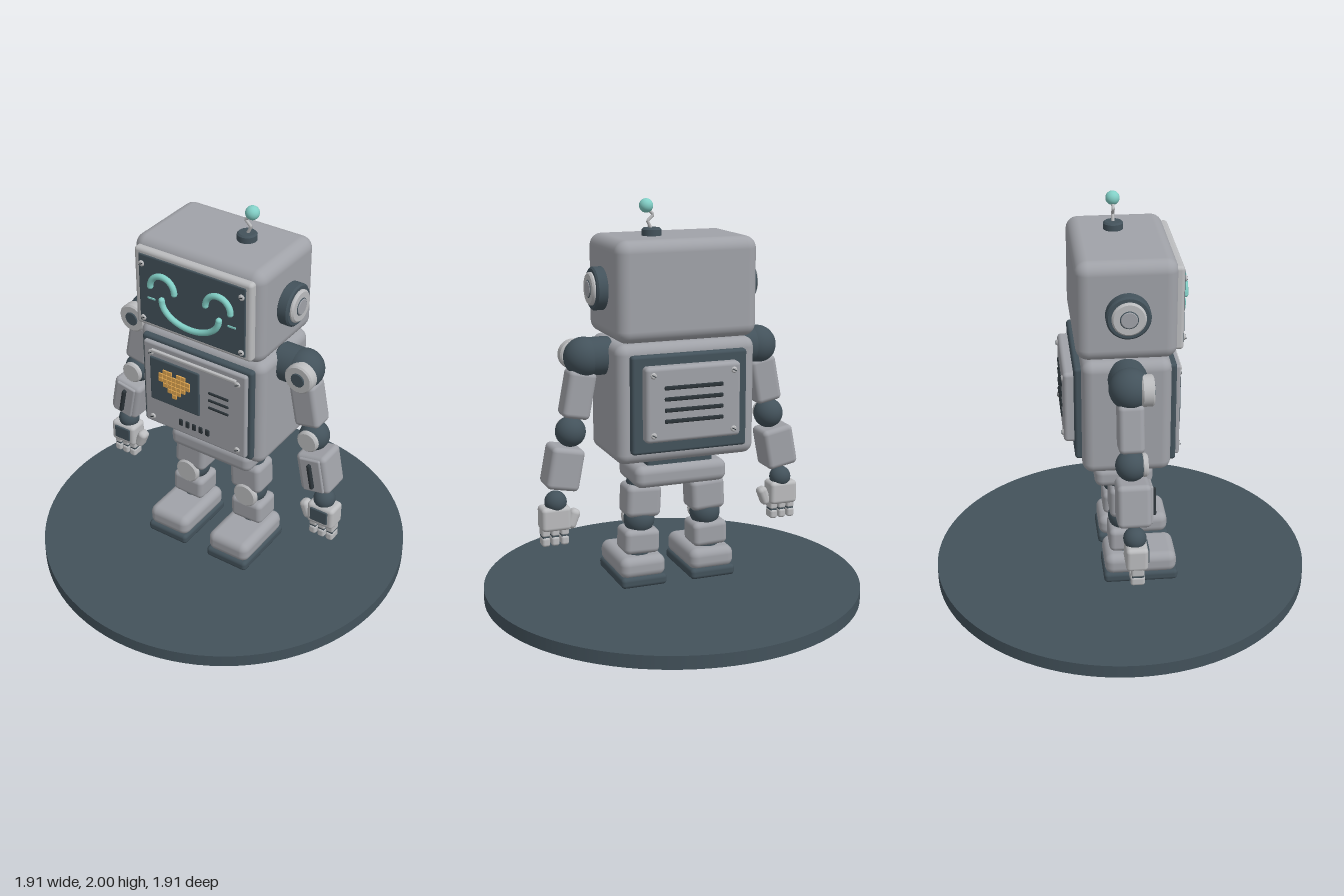
import * as THREE from 'three';
import { RoundedBoxGeometry } from 'three/addons/geometries/RoundedBoxGeometry.js';

const mat = (name, color) => {
  const m = new THREE.MeshStandardMaterial({ color });
  m.name = name;
  return m;
};

export function createModel() {
  const root = new THREE.Group();
  root.name = 'robot';
  const body = mat('bodyGrey', 0xa0a2a8);
  const trim = mat('lightTrim', 0xbbbcbe);
  const dark = mat('darkSlate', 0x43525b);
  const ink = mat('slotBlack', 0x2b3338);
  const glow = mat('aquaGlow', 0x82cfc6);
  const amber = mat('amberPixel', 0xe0a650);

  const add = (parent, name, geo, material, x = 0, y = 0, z = 0, rz = 0) => {
    const mesh = new THREE.Mesh(geo, material);
    mesh.name = name;
    mesh.position.set(x, y, z);
    mesh.rotation.z = rz;
    parent.add(mesh);
    return mesh;
  };
  const group = (name, parent = root) => {
    const g = new THREE.Group();
    g.name = name;
    parent.add(g);
    return g;
  };
  const rbox = (w, h, d, r = 0.02) => new RoundedBoxGeometry(w, h, d, 4, Math.min(r, w / 2.01, h / 2.01, d / 2.01));
  const box = (w, h, d) => new THREE.BoxGeometry(w, h, d);
  const ball = (r) => new THREE.SphereGeometry(r, 32, 20);
  // Discs whose axis runs along z or x, with a softened rim
  const disc = (r, h) => {
    const b = Math.min(0.008, h / 3);
    const pts = [[0, -h / 2], [r - b, -h / 2], [r, -h / 2 + b], [r, h / 2 - b], [r - b, h / 2], [0, h / 2]];
    // doubled points keep the rim creases sharp
    const profile = pts.flatMap(([x, y], i) => (i > 0 && i < 5 ? [[x, y], [x, y]] : [[x, y]]));
    return new THREE.LatheGeometry(profile.map(([x, y]) => new THREE.Vector2(x, y)), 40);
  };
  const discZ = (r, h) => disc(r, h).rotateX(Math.PI / 2);
  const discX = (r, h) => disc(r, h).rotateZ(-Math.PI / 2);

  // Four corner screws on a panel, facing forwards (dir 1) or backwards (dir -1)
  const screws = (parent, sx, yTop, yBottom, z, dir) => {
    for (const x of [-sx, sx]) for (const y of [yTop, yBottom]) {
      add(parent, 'screw', discZ(0.015, 0.014), trim, x, y, z);
      add(parent, 'screwSlot', box(0.022, 0.004, 0.004), ink, x, y, z + dir * 0.007, 0.5);
    }
  };

  // Base
  add(root, 'baseDisc', new THREE.CylinderGeometry(0.956, 0.956, 0.066, 96), dark, 0, 0.033, 0);

  // Head
  const head = group('head');
  add(head, 'headShell', rbox(0.715, 0.485, 0.476, 0.06), body, 0, 1.581, 0);
  add(head, 'faceFrame', rbox(0.65, 0.412, 0.05, 0.018), trim, 0, 1.58, 0.24);
  add(head, 'faceScreen', rbox(0.594, 0.366, 0.02, 0.008), dark, 0, 1.578, 0.26);
  screws(head, 0.276, 1.712, 1.42, 0.272, 1);

  // Arc of glowing tube with rounded ends
  const arc = (name, cx, cy, rx, ry, r) => {
    const pts = [];
    for (let i = 0; i <= 16; i++) {
      const a = (Math.PI * i) / 16;
      pts.push(new THREE.Vector3(cx + rx * Math.cos(a), cy + ry * Math.sin(a), 0.28));
    }
    add(head, name, new THREE.TubeGeometry(new THREE.CatmullRomCurve3(pts), 48, r, 12), glow);
    for (const p of [pts[0], pts[16]]) add(head, name + 'End', ball(r), glow, p.x, p.y, p.z);
  };
  for (const s of [-1, 1]) {
    arc('eye', s * 0.155, 1.612, 0.068, 0.068, 0.015);
    add(head, 'cheekMark', box(0.042, 0.008, 0.008), glow, s * 0.225, 1.54, 0.271);
    add(head, 'earBase', discX(0.104, 0.06), dark, s * 0.382, 1.58, 0);
    add(head, 'earRing', discX(0.08, 0.035), trim, s * 0.41, 1.58, 0);
    add(head, 'earGroove', discX(0.044, 0.01), dark, s * 0.425, 1.58, 0);
    add(head, 'earButton', discX(0.04, 0.012), body, s * 0.427, 1.58, 0);
  }
  arc('mouth', 0, 1.555, 0.16, -0.107, 0.015);

  // Antenna
  const antenna = group('antenna', head);
  add(antenna, 'antennaBase', disc(0.048, 0.045), dark, 0.113, 1.838, -0.022);
  const kinks = [[0.113, 1.85], [0.133, 1.893], [0.104, 1.922], [0.14, 1.96]].map(([x, y]) => new THREE.Vector3(x, y, -0.022));
  const wire = new THREE.CurvePath();
  for (let i = 0; i < 3; i++) wire.add(new THREE.LineCurve3(kinks[i], kinks[i + 1]));
  add(antenna, 'antennaWire', new THREE.TubeGeometry(wire, 36, 0.008, 8), trim);
  add(antenna, 'antennaTip', ball(0.034), glow, 0.14, 1.966, -0.022);

  // Torso
  const torso = group('torso');
  add(torso, 'neck', new THREE.CylinderGeometry(0.15, 0.15, 0.08, 32), dark, 0, 1.335, 0);
  add(torso, 'torsoShell', rbox(0.714, 0.585, 0.425, 0.05), body, 0, 1.04, 0);
  add(torso, 'chestBorder', rbox(0.635, 0.51, 0.05, 0.015), dark, 0, 1.045, 0.213);
  add(torso, 'chestPlate', rbox(0.592, 0.473, 0.04, 0.012), body, 0, 1.044, 0.238);
  screws(torso, 0.25, 1.225, 0.845, 0.26, 1);
  add(torso, 'chestBar', rbox(0.49, 0.018, 0.02, 0.006), trim, 0, 1.241, 0.261);
  add(torso, 'chestDisplay', rbox(0.29, 0.248, 0.02, 0.008), dark, -0.111, 1.08, 0.256);
  ['.XX.XX.', 'XXXXXXX', 'XXXXXXX', '.XXXXX.', '..XXX..', '...X...'].forEach((row, j) => {
    [...row].forEach((c, i) => {
      if (c === 'X') add(torso, 'heartPixel', box(0.023, 0.021, 0.009), amber, -0.108 + (i - 3) * 0.0265, 1.145 - j * 0.0248, 0.269);
    });
  });
  for (const y of [1.115, 1.073, 1.03]) add(torso, 'chestVent', rbox(0.116, 0.014, 0.016, 0.006), ink, 0.142, y, 0.257);
  for (let i = -2; i <= 2; i++) add(torso, 'chestSlot', rbox(0.024, 0.038, 0.016, 0.007), ink, i * 0.039 - 0.002, 0.874, 0.257);

  // Back panel
  add(torso, 'backBorder', rbox(0.59, 0.48, 0.05, 0.015), dark, 0, 1.045, -0.22);
  add(torso, 'backPlate', rbox(0.485, 0.367, 0.07, 0.02), body, 0, 1.053, -0.26);
  for (let i = 0; i < 4; i++) add(torso, 'backVent', rbox(0.3, 0.02, 0.016, 0.006), ink, 0, 1.135 - i * 0.054, -0.294);
  screws(torso, 0.205, 1.198, 0.908, -0.295, -1);

  // Waist and pelvis
  add(root, 'waist', rbox(0.345, 0.1, 0.23, 0.015), dark, 0, 0.735, 0);
  add(root, 'pelvis', rbox(0.482, 0.112, 0.288, 0.04), body, 0, 0.655, -0.003);

  for (const s of [-1, 1]) {
    // Arm
    const arm = group(s > 0 ? 'leftArm' : 'rightArm');
    const tilt = s * 0.19;
    add(arm, 'shoulderAxle', discX(0.093, 0.14), dark, s * 0.395, 1.253, 0);
    add(arm, 'shoulderBall', ball(0.098), dark, s * 0.455, 1.252, 0);
    add(arm, 'shoulderCap', discZ(0.074, 0.06), trim, s * 0.482, 1.253, 0.077);
    add(arm, 'shoulderBolt', discZ(0.036, 0.012), dark, s * 0.482, 1.253, 0.106);
    add(arm, 'upperArm', rbox(0.138, 0.235, 0.122, 0.025), body, s * 0.49, 1.075, 0, tilt);
    add(arm, 'elbowBall', ball(0.075), dark, s * 0.527, 0.89, 0);
    add(arm, 'elbowCap', discZ(0.056, 0.03), trim, s * 0.527, 0.89, 0.062);

    const forearm = group('forearm', arm);
    forearm.position.set(s * 0.57, 0.717, 0);
    forearm.rotation.z = tilt;
    add(forearm, 'forearmShell', rbox(0.165, 0.21, 0.16, 0.025), body, 0, 0, 0.005);
    add(forearm, 'forearmPlate', rbox(0.115, 0.185, 0.02, 0.008), body, 0, 0, 0.085);
    add(forearm, 'forearmSlot', rbox(0.02, 0.138, 0.03, 0.008), ink, 0, 0, 0.098);

    // Hand
    const hand = group('hand', arm);
    add(hand, 'wristBall', ball(0.055), dark, s * 0.606, 0.54, 0.01);
    add(hand, 'palm', rbox(0.148, 0.12, 0.105, 0.02), trim, s * 0.612, 0.46, 0.015);
    add(hand, 'palmPanel', rbox(0.096, 0.074, 0.014, 0.005), dark, s * 0.61, 0.466, 0.068);
    for (const i of [-1, 0, 1]) {
      const x = s * (0.614 + i * 0.048);
      add(hand, 'fingerUpper', rbox(0.04, 0.05, 0.062, 0.01), trim, x, 0.394, 0.018);
      add(hand, 'fingerJoint', rbox(0.034, 0.02, 0.056, 0.004), dark, x, 0.371, 0.018);
      add(hand, 'fingerTip', rbox(0.04, 0.048, 0.068, 0.013), trim, x, 0.343, 0.018);
    }
    add(hand, 'thumb', rbox(0.052, 0.1, 0.06, 0.022), trim, s * 0.518, 0.442, 0.02, s * 0.38);

    // Leg
    const leg = group(s > 0 ? 'leftLeg' : 'rightLeg');
    add(leg, 'hipBall', ball(0.07), dark, s * 0.17, 0.6, 0);
    add(leg, 'thigh', rbox(0.182, 0.165, 0.15, 0.03), body, s * 0.171, 0.512, 0, s * 0.05);
    add(leg, 'kneeBall', ball(0.078), dark, s * 0.178, 0.405, 0);
    add(leg, 'kneeCap', discZ(0.066, 0.035), trim, s * 0.18, 0.405, 0.068);
    add(leg, 'shin', rbox(0.184, 0.126, 0.158, 0.028), body, s * 0.183, 0.303, 0, s * 0.03);
    add(leg, 'ankle', new THREE.CylinderGeometry(0.06, 0.06, 0.06, 24), dark, s * 0.185, 0.235, 0);
    add(leg, 'foot', rbox(0.238, 0.112, 0.362, 0.042), body, s * 0.185, 0.176, 0.078);
    add(leg, 'sole', rbox(0.24, 0.056, 0.374, 0.02), dark, s * 0.185, 0.106, 0.078);
  }
  return root;
}
